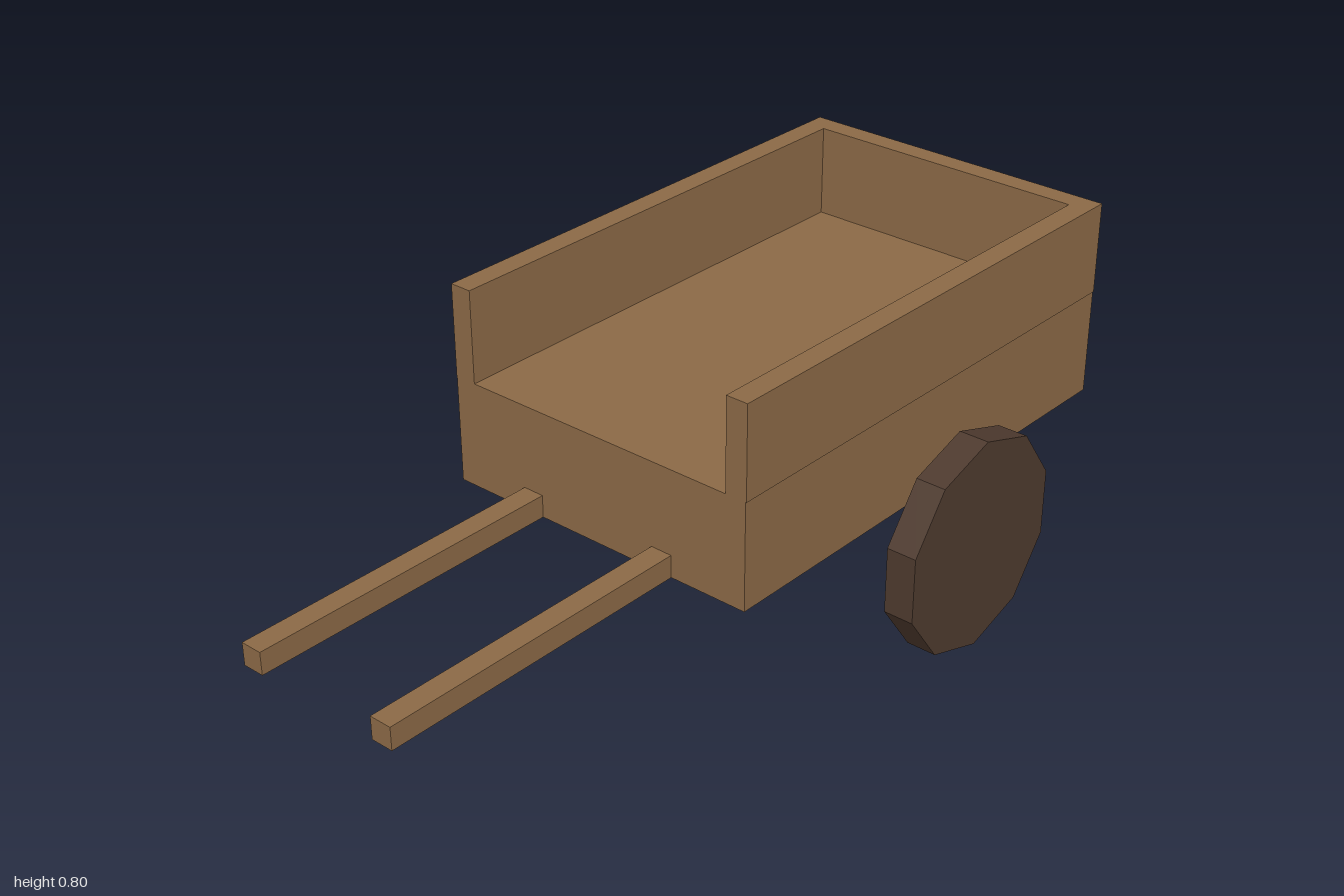
import * as THREE from 'three';

export function createModel() {
  const cart = new THREE.Group();
  cart.name = 'handCart';
  const wood = new THREE.MeshStandardMaterial({ color: 0x8b6946 });
  wood.name = 'wood';
  const darkWood = new THREE.MeshStandardMaterial({ color: 0x4e3a2e });
  darkWood.name = 'darkWood';
  wood.flatShading = darkWood.flatShading = true;

  // Box given by its lower and upper corners
  function box(name, [x0, y0, z0], [x1, y1, z1]) {
    const mesh = new THREE.Mesh(new THREE.BoxGeometry(x1 - x0, y1 - y0, z1 - z0), wood);
    mesh.position.set((x0 + x1) / 2, (y0 + y1) / 2, (z0 + z1) / 2);
    mesh.name = name;
    cart.add(mesh);
  }

  // Thick bed with walls on three sides, open at the front
  const floorTop = 0.583, top = 0.8, back = -1, front = 0.235;
  box('bed', [-0.47, 0.33, back], [0.326, floorTop, front]);
  box('rightWall', [-0.471, floorTop, back], [-0.418, top, front]);
  box('leftWall', [0.275, floorTop, back], [0.328, top, front]);
  box('backWall', [-0.418, floorTop, back], [0.275, top, -0.947]);

  // Pulling shafts
  box('rightShaft', [-0.28, 0.33, 0.2], [-0.228, 0.383, 1]);
  box('leftShaft', [0.08, 0.33, 0.2], [0.133, 0.383, 1]);

  // Ten-sided solid wheels with a corner at the bottom
  const radius = 0.254;
  const wheelShape = new THREE.CylinderGeometry(radius, radius, 0.072, 10, 1, false, Math.PI / 2);
  wheelShape.rotateZ(Math.PI / 2);
  for (const [name, x] of [['rightWheel', -0.436], ['leftWheel', 0.436]]) {
    const wheel = new THREE.Mesh(wheelShape, darkWood);
    wheel.position.set(x, radius, -0.38);
    wheel.name = name;
    cart.add(wheel);
  }
  return cart;
}
